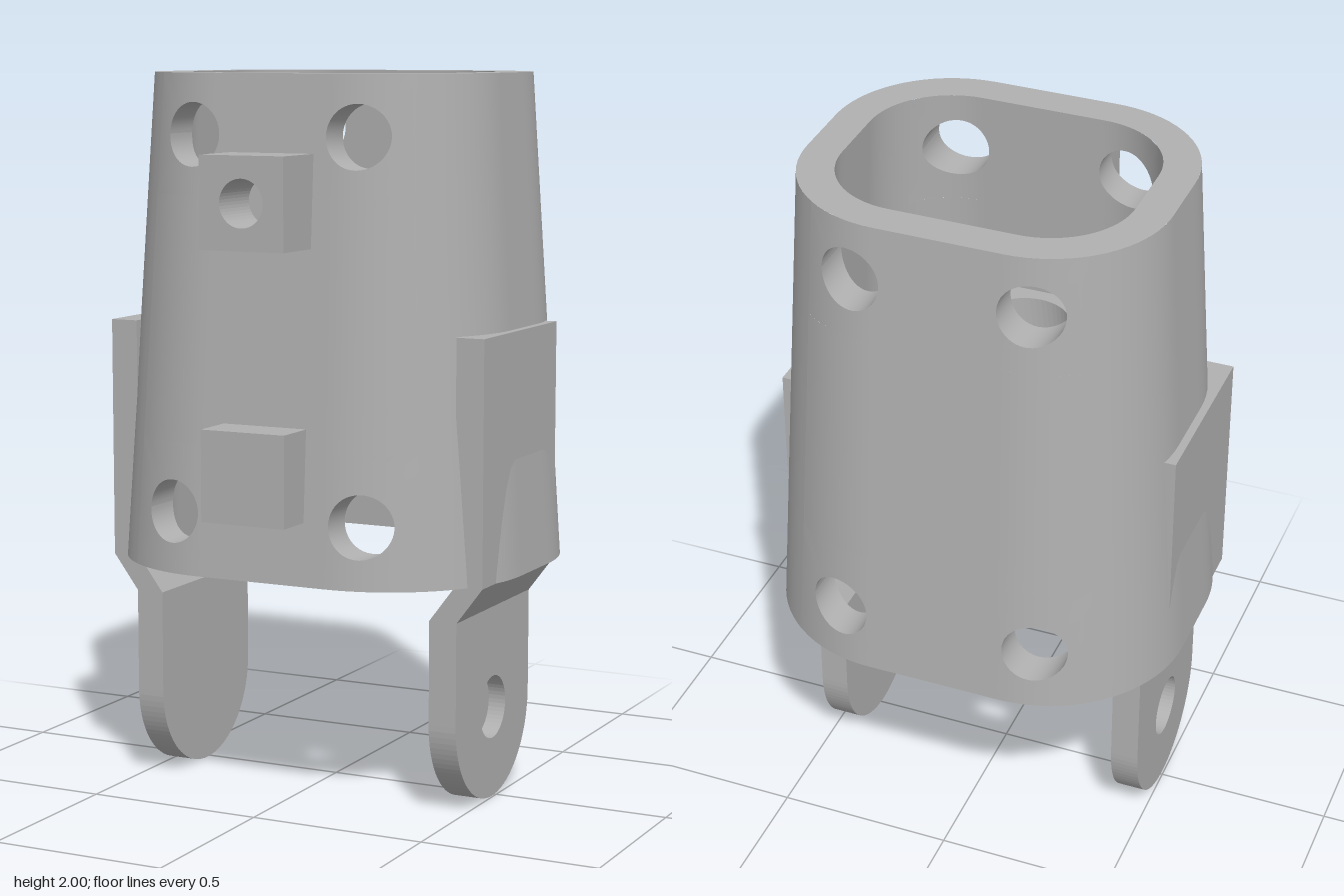
import * as THREE from 'three';
import { mergeGeometries } from 'three/addons/utils/BufferGeometryUtils.js';

const Y0 = 0.64, Y1 = 2, ZC = -0.05, WALL = 0.1;
const lerp = THREE.MathUtils.lerp;

// Tapered rounded-rectangle section at height y: half width, half depth, corner radius
function section(y, inset) {
  const k = (y - Y0) / (Y1 - Y0);
  return { w: lerp(0.59, 0.505, k) - inset, d: lerp(0.505, 0.42, k) - inset, r: lerp(0.4, 0.33, k) - inset };
}

// Depth of the front wall at a given x
function depthAt(x, y, inset) {
  const { w, d, r } = section(y, inset), q = Math.max(0, x - (w - r));
  return d - r + Math.sqrt(Math.max(0, r * r - q * q));
}
const onWall = (x, y, inset) => [x, y, depthAt(x, y, inset)];

// Point on a quarter section, from mid-front (t = 0) to mid-side (t = 1)
function quarter(t, y, inset) {
  const { w, d, r } = section(y, inset);
  if (t < 0.2) return [(w - r) * t / 0.2, y, d];
  if (t > 0.8) return [w, y, (d - r) * (1 - t) / 0.2];
  const a = (t - 0.2) / 0.6 * Math.PI / 2;
  return [w - r + r * Math.sin(a), y, d - r + r * Math.cos(a)];
}

// Grid surface from a rule, mirrored into the quarter (sx, sz)
function grid(fn, nu, nv, sx, sz, flip) {
  const pos = [], idx = [];
  for (let j = 0; j <= nv; j++) for (let i = 0; i <= nu; i++) {
    const [x, y, z] = fn(i / nu, j / nv);
    pos.push(x * sx, y, z * sz + ZC);
  }
  const rev = (sx * sz < 0) !== flip;
  for (let j = 0; j < nv; j++) for (let i = 0; i < nu; i++) {
    const a = j * (nu + 1) + i, b = a + 1, c = a + nu + 1, d = c + 1;
    idx.push(...(rev ? [a, d, b, a, c, d] : [a, b, d, a, d, c]));
  }
  const g = new THREE.BufferGeometry();
  g.setAttribute('position', new THREE.Float32BufferAttribute(pos, 3));
  g.setIndex(idx);
  g.computeVertexNormals();
  return g;
}

// Tapered sleeve with four round holes in the front wall and four in the back
function sleeveGeometry() {
  const parts = [], HOLE = 0.087;
  const holes = [{ x: 0.285, y: 0.81, lo: Y0, hi: 1 }, { x: 0.247, y: 1.835, lo: 1.67, hi: Y1 }];
  for (const sx of [1, -1]) for (const sz of [1, -1]) {
    for (const inset of [0, WALL]) {
      const add = (fn, nu, nv) => parts.push(grid(fn, nu, nv, sx, sz, inset > 0));
      const xa = 0.25, xb = inset ? 0.87 : 0.74;
      const strip = (a, b, lo, hi) => (u, v) => {
        const y = lerp(lo, hi, v);
        return onWall(lerp(a, b, u) * section(y, inset).w, y, inset);
      };
      add(strip(0, xa, Y0, Y1), 4, 8);
      add(strip(xa, xb, 1, 1.67), 12, 6);
      // rest of the corner and the side
      add((u, v) => {
        const y = lerp(Y0, Y1, v), { w, d, r } = section(y, inset);
        if (u > 0.75) return [w, y, (d - r) * (1 - u) / 0.25];
        const a = lerp(Math.asin((xb * w - w + r) / r), Math.PI / 2, u / 0.75);
        return [w - r + r * Math.sin(a), y, d - r + r * Math.cos(a)];
      }, 16, 8);
      // wall patch around each hole
      for (const h of holes) add((u, v) => {
        const a = u * Math.PI * 2, c = Math.cos(a), s = Math.sin(a), m = Math.max(Math.abs(c), Math.abs(s));
        const y = lerp(h.lo, h.hi, 0.5 + 0.5 * s / m);
        const x = lerp(xa, xb, 0.5 + 0.5 * c / m) * section(y, inset).w;
        return onWall(lerp(x, h.x + HOLE * c, v), lerp(y, h.y + HOLE * s, v), inset);
      }, 48, 6);
    }
    // hole linings
    for (const h of holes) parts.push(grid((u, v) => {
      const a = u * Math.PI * 2, x = h.x + HOLE * Math.cos(a), y = h.y + HOLE * Math.sin(a);
      return [x, y, lerp(depthAt(x, y, 0), depthAt(x, y, WALL), v)];
    }, 48, 1, sx, sz, false));
    // top and bottom rims
    for (const y of [Y0, Y1]) parts.push(grid((u, v) => {
      const p = quarter(u, y, 0), q = quarter(u, y, WALL);
      return [lerp(p[0], q[0], v), y, lerp(p[2], q[2], v)];
    }, 30, 1, sx, sz, y === Y0));
  }
  return mergeGeometries(parts);
}

function circle(x, y, r) {
  const p = new THREE.Path();
  p.absarc(x, y, r, 0, Math.PI * 2, true);
  return p;
}
const extrude = (shape, depth) => new THREE.ExtrudeGeometry(shape, { depth, bevelEnabled: false, curveSegments: 24 });

// Inner floor with two slanted round channels
function floorGeometry(bottom, top) {
  const pts = [];
  for (let k = 0; k < 4; k++) for (let i = 0; i < 20; i++) {
    const [x, , z] = quarter(k % 2 ? 1 - i / 20 : i / 20, 1.2, 0.06);
    pts.push(new THREE.Vector2(k < 2 ? x : -x, -((k === 0 || k === 3 ? z : -z) + ZC)));
  }
  const shape = new THREE.Shape(pts);
  const channels = [{ z: 0.14, r: 0.127, shift: 0.09 }, { z: -0.205, r: 0.065, shift: -0.075 }];
  for (const c of channels) shape.holes.push(circle(0, -c.z, c.r));
  const g = extrude(shape, top - bottom).rotateX(-Math.PI / 2).translate(0, bottom, 0);
  const p = g.attributes.position;
  for (let i = 0; i < p.count; i++) {
    if (p.getY(i) > bottom + 0.01) continue;
    const c = channels.find(h => Math.hypot(p.getX(i), p.getZ(i) - h.z) < h.r + 0.005);
    if (c) p.setZ(i, p.getZ(i) + c.shift);
  }
  return g;
}

// Rounded lug outline, with an optional pin hole
function lugShape(withHole) {
  const R = 0.2525, s = new THREE.Shape();
  s.moveTo(R, 0.54);
  s.lineTo(-R, 0.54);
  s.lineTo(-R, R);
  s.absarc(0, R, R, Math.PI, Math.PI * 2, false);
  s.lineTo(R, 0.54);
  if (withHole) s.holes.push(circle(0, 0.255, 0.088));
  return s;
}

export function createModel() {
  const model = new THREE.Group();
  const grey = new THREE.MeshStandardMaterial({ color: 0xb0b0b0 });
  grey.name = 'plain grey';
  const add = (parent, name, geometry) => {
    const mesh = new THREE.Mesh(geometry, grey);
    mesh.name = name;
    parent.add(mesh);
    return mesh;
  };

  add(model, 'sleeve', sleeveGeometry());
  add(model, 'innerFloor', floorGeometry(1.05, 1.4));

  // Square blocks on the front, the upper one bored
  const square = new THREE.Shape([[-0.125, -0.125], [0.125, -0.125], [0.125, 0.125], [-0.125, 0.125]]
    .map(([x, y]) => new THREE.Vector2(x, y)));
  add(model, 'lowerBlock', extrude(square, 0.195)).position.set(0, 0.9375, 0.36);
  const bored = square.clone();
  bored.holes.push(circle(0, 0, 0.065));
  add(model, 'upperBlock', extrude(bored, 0.195)).position.set(0, 1.665, 0.36);

  // Side legs: cranked plate, then a lug with a blind pin hole on its outside
  const plate = new THREE.Shape([[0.49, 1.31], [0.49, 0.64], [0.415, 0.54], [0.495, 0.54], [0.57, 0.64], [0.57, 1.31]]
    .map(([x, y]) => new THREE.Vector2(x, y)));
  for (const side of ['left', 'right']) {
    const leg = new THREE.Group();
    leg.name = side + 'Leg';
    leg.position.z = 0.0175;
    if (side === 'right') leg.rotation.y = Math.PI;
    add(leg, 'sidePlate', extrude(plate, 0.505).translate(0, 0, -0.2525));
    add(leg, 'lugBack', extrude(lugShape(false), 0.03).rotateY(Math.PI / 2).translate(0.415, 0, 0));
    add(leg, 'lugFront', extrude(lugShape(true), 0.05).rotateY(Math.PI / 2).translate(0.445, 0, 0));
    model.add(leg);
  }
  return model;
}
